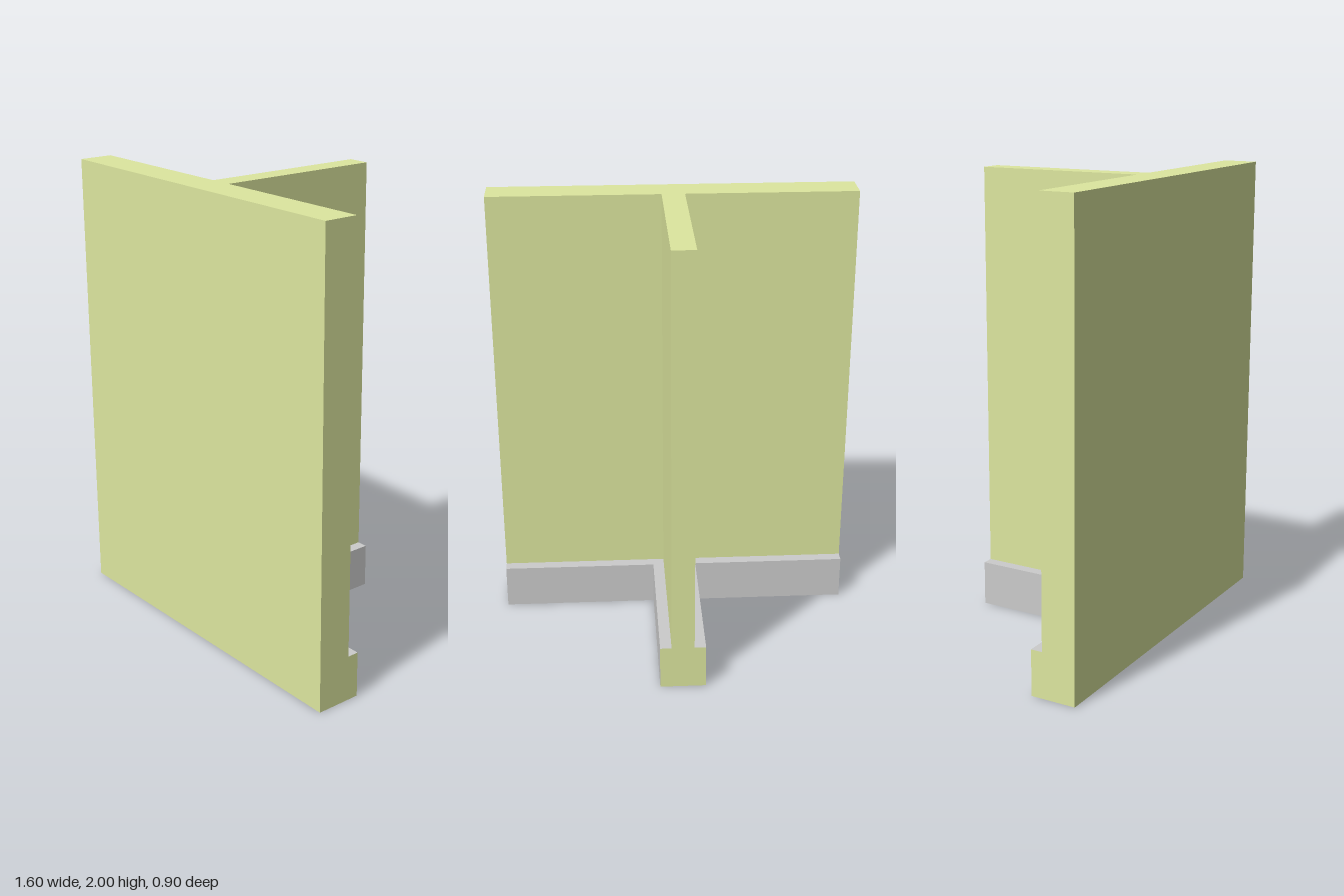
import * as THREE from 'three';

export function createModel() {
  const model = new THREE.Group();
  const wallMat = new THREE.MeshStandardMaterial({ color: 0xdde79f, flatShading: true });
  const trimMat = new THREE.MeshStandardMaterial({ color: 0xcccccc, flatShading: true });

  // T-shaped wall: plan drawn in x and -z, extruded upwards
  const plan = new THREE.Shape([
    [-0.8, -0.45], [0.8, -0.45], [0.8, -0.3], [0.05, -0.3],
    [0.05, 0.45], [-0.05, 0.45], [-0.05, -0.3], [-0.8, -0.3],
  ].map(([x, y]) => new THREE.Vector2(x, y)));
  const wallGeo = new THREE.ExtrudeGeometry(plan, { depth: 2, bevelEnabled: false });
  wallGeo.rotateX(-Math.PI / 2);
  const walls = new THREE.Mesh(wallGeo, wallMat);
  walls.name = 'walls';
  model.add(walls);

  // Skirting strip between two corners in plan, standing on the ground
  const height = 0.2;
  function skirting(name, x0, x1, z0, z1, materials) {
    const geo = new THREE.BoxGeometry(Math.abs(x1 - x0), height, z1 - z0);
    const mesh = new THREE.Mesh(geo, materials);
    mesh.name = name;
    mesh.position.set((x0 + x1) / 2, height / 2, (z0 + z1) / 2);
    model.add(mesh);
  }

  // Room faces and tops are trim-coloured; cut ends and undersides match the wall.
  // Order: +x, -x, +y, -y, +z, -z
  const mainFaces = [wallMat, wallMat, trimMat, wallMat, wallMat, trimMat];
  const partitionFaces = [trimMat, trimMat, trimMat, wallMat, wallMat, wallMat];
  for (const [side, s] of [['left', 1], ['right', -1]]) {
    skirting(side + 'MainSkirting', s * 0.1, s * 0.8, 0.25, 0.3, mainFaces);
    skirting(side + 'PartitionSkirting', s * 0.05, s * 0.1, -0.45, 0.3, partitionFaces);
  }
  return model;
}
